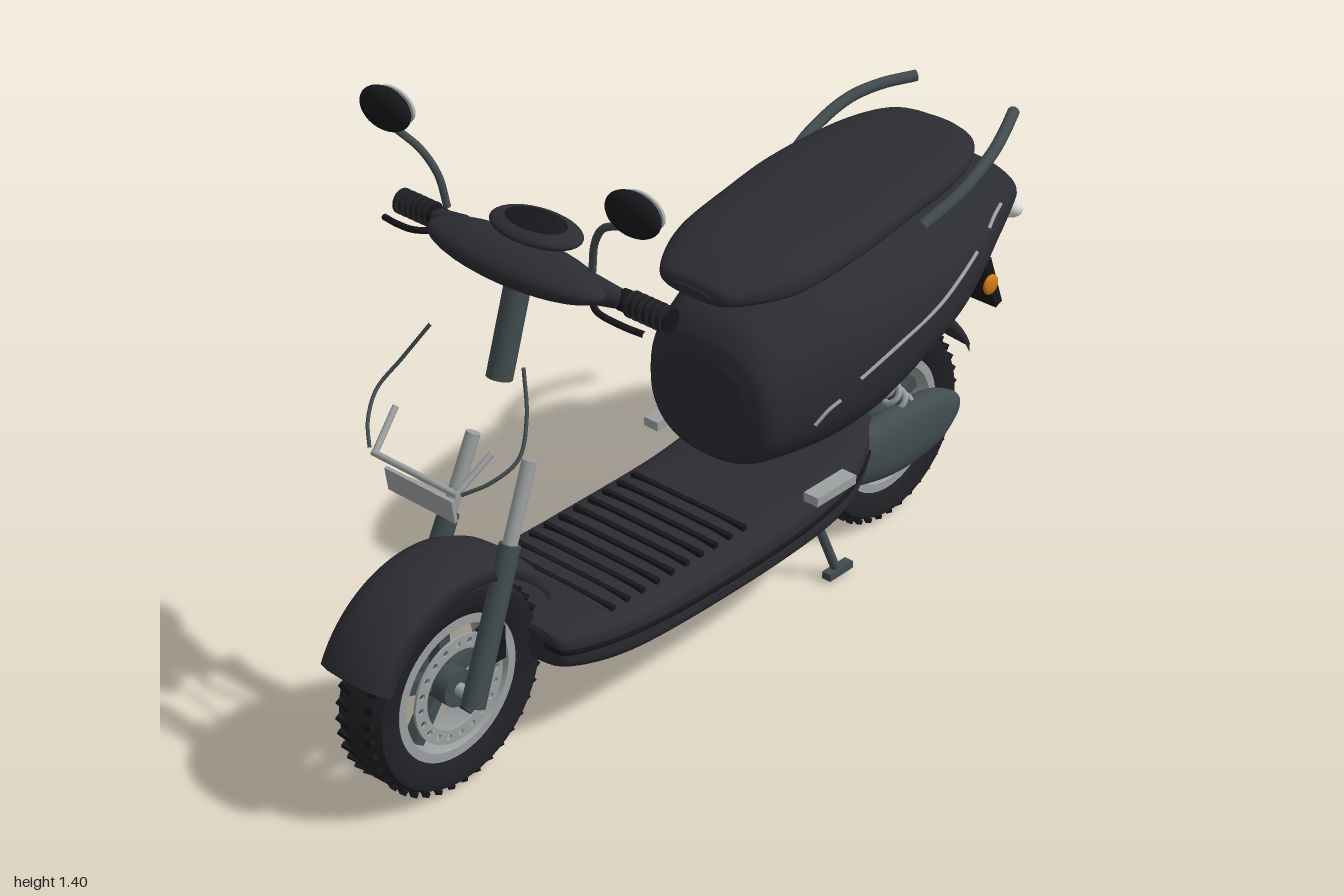
import * as THREE from 'three';
import { toCreasedNormals } from 'three/addons/utils/BufferGeometryUtils.js';

const mat = (name, color) => Object.assign(new THREE.MeshStandardMaterial({ color }), { name });
const V = (p) => new THREE.Vector3(...p);

export function createModel() {
  const paint = mat('black paint', 0x2c2c33), rubber = mat('tyre rubber', 0x212126), trim = mat('black trim', 0x17171b);
  const gunmetal = mat('gunmetal', 0x414c4e), silver = mat('silver', 0x9da1a2), glass = mat('mirror glass', 0xa9b1b3);
  const red = mat('red lens', 0xb01f2c), white = mat('white lens', 0xdcdcdc), amber = mat('amber lens', 0xd07a12);
  const fenderPaint = mat('fender paint', 0x2c2c33);
  fenderPaint.side = THREE.DoubleSide;
  const model = new THREE.Group();

  function add(name, geo, material, pos = [0, 0, 0], rot = [0, 0, 0], parent = model) {
    const m = new THREE.Mesh(geo, material);
    m.name = name;
    m.position.set(...pos);
    m.rotation.set(...rot);
    parent.add(m);
    return m;
  }
  const ball = (name, pos, scale, material) => add(name, new THREE.SphereGeometry(1, 32, 20), material, pos).scale.set(...scale);
  // Straight rod between two points
  function rod(name, a, b, r0, material, r1 = r0, parent = model) {
    const d = V(b).sub(V(a));
    const m = add(name, new THREE.CylinderGeometry(r1, r0, d.length(), 20), material, V(a).addScaledVector(d, 0.5).toArray(), [0, 0, 0], parent);
    m.quaternion.setFromUnitVectors(V([0, 1, 0]), d.normalize());
    return m;
  }
  const pipe = (name, pts, r, material) =>
    add(name, new THREE.TubeGeometry(new THREE.CatmullRomCurve3(pts.map(V)), 32, r, 10), material);

  // Smooth hull along x; each section is [x, top, bottom, halfWidth, heightOfWidestPoint]
  function sampler(secs) {
    const curve = (f) => new THREE.CatmullRomCurve3(secs.map((s) => V(f(s))), false, 'catmullrom', 0.5);
    const a = curve((s) => [s[0], s[1], s[2]]), b = curve((s) => [s[3], s[4], 0]);
    return (t) => {
      const p = a.getPoint(t), q = b.getPoint(t);
      return { x: p.x, top: p.y, bot: p.z, w: q.x, mid: q.y };
    };
  }
  function hull(secs, e, rings = 48, n = 48) {
    const at = sampler(secs), pos = [], idx = [];
    const pw = (v) => Math.sign(v) * Math.abs(v) ** e;
    const ring = (s) => {
      for (let j = 0; j < n; j++) {
        const c = pw(Math.cos((j / n) * Math.PI * 2)), k = pw(Math.sin((j / n) * Math.PI * 2));
        pos.push(s.x, s.mid + k * (k > 0 ? s.top - s.mid : s.mid - s.bot), c * s.w);
      }
    };
    for (let i = 0; i <= rings; i++) ring(at(i / rings));
    for (let i = 0; i < rings; i++) for (let j = 0; j < n; j++) {
      const k = (j + 1) % n, a = i * n + j, b = i * n + k;
      idx.push(a, a + n, b, b, a + n, b + n);
    }
    for (const end of [0, 1]) { // separate end caps
      const s = at(end), base = pos.length / 3;
      ring(s);
      pos.push(s.x, s.mid, 0);
      for (let j = 0; j < n; j++) {
        const k = base + ((j + 1) % n);
        idx.push(base + n, end ? k : base + j, end ? base + j : k);
      }
    }
    const g = new THREE.BufferGeometry();
    g.setAttribute('position', new THREE.Float32BufferAttribute(pos, 3));
    g.setIndex(idx);
    g.computeVertexNormals();
    return g;
  }
  // Profile [radius, z] swept round the z axis from angle a to b
  function revolve(profile, a = 0, b = Math.PI * 2) {
    const g = new THREE.LatheGeometry(profile.map((p) => new THREE.Vector2(...p)), 64, a + Math.PI / 2, b - a);
    return g.rotateX(Math.PI / 2);
  }

  // Wheels
  const axleZ = [Math.PI / 2, 0, 0];
  function wheel(name, x) {
    const g = new THREE.Group();
    g.name = name;
    g.position.set(x, 0.248, 0);
    model.add(g);
    add('tyre', toCreasedNormals(revolve([[0.165, -0.05], [0.198, -0.066], [0.225, -0.063], [0.237, -0.04], [0.241, 0],
      [0.237, 0.04], [0.225, 0.063], [0.198, 0.066], [0.165, 0.05], [0.165, -0.05]]), 0.7), rubber, undefined, undefined, g);
    add('rim', toCreasedNormals(revolve([[0.143, -0.04], [0.146, -0.052], [0.167, -0.052], [0.167, 0.052], [0.146, 0.052],
      [0.143, 0.04], [0.143, -0.04]]), 0.5), silver, undefined, undefined, g);
    add('hub', new THREE.CylinderGeometry(0.042, 0.042, 0.11, 32), gunmetal, undefined, axleZ, g);
    add('axle', new THREE.CylinderGeometry(0.014, 0.014, 0.24, 16), silver, undefined, axleZ, g);
    for (let i = 0; i < 5; i++) {
      const a = Math.PI / 2 + (i * Math.PI * 2) / 5;
      add('spoke', new THREE.BoxGeometry(0.12, 0.03, 0.035), gunmetal, [Math.cos(a) * 0.09, Math.sin(a) * 0.09, 0], [0, 0, a], g);
    }
    for (let i = 0; i < 40; i++) for (const s of [-1, 1]) {
      const a = ((i + (s > 0 ? 0.5 : 0)) * Math.PI) / 20;
      const block = add('tread', new THREE.BoxGeometry(0.01, 0.014, 0.04), trim, [Math.cos(a) * 0.236, Math.sin(a) * 0.236, s * 0.034], [0, 0, a], g);
      block.rotateX(s * 0.5);
      block.rotateY(s * 0.2);
    }
    return g;
  }
  const front = wheel('frontWheel', -0.745);
  wheel('rearWheel', 0.65);

  // Drilled brake disc
  const disc = new THREE.Shape().absarc(0, 0, 0.125, 0, Math.PI * 2);
  disc.holes.push(new THREE.Path().absarc(0, 0, 0.092, 0, Math.PI * 2));
  for (let i = 0; i < 20; i++) {
    const a = (i * Math.PI) / 10;
    disc.holes.push(new THREE.Path().absarc(Math.cos(a) * 0.109, Math.sin(a) * 0.109, 0.007, 0, Math.PI * 2));
  }
  add('brakeDisc', new THREE.ExtrudeGeometry(disc, { depth: 0.006, bevelEnabled: false, curveSegments: 24 }), silver, [0, 0, 0.05], undefined, front);
  add('brakeCaliper', new THREE.BoxGeometry(0.05, 0.08, 0.035), trim, [0.09, 0.07, 0.06], undefined, front);

  // Fenders
  const guard = [[0.25, -0.1], [0.272, -0.085], [0.286, -0.05], [0.29, 0], [0.286, 0.05], [0.272, 0.085], [0.25, 0.1],
    [0.263, 0.08], [0.27, 0], [0.263, -0.08], [0.25, -0.1]];
  const rad = Math.PI / 180;
  add('frontFender', revolve(guard, 26 * rad, 155 * rad), fenderPaint, [-0.745, 0.258, 0]);
  add('rearFender', revolve(guard, 25 * rad, 150 * rad), fenderPaint, [0.65, 0.26, 0]);

  // Body, seat and footboard
  const bodySecs = [[0.06, 0.66, 0.43, 0.13, 0.55], [0.08, 0.71, 0.41, 0.17, 0.56], [0.13, 0.755, 0.395, 0.195, 0.57],
    [0.27, 0.80, 0.385, 0.235, 0.6], [0.40, 0.82, 0.405, 0.257, 0.63], [0.52, 0.833, 0.465, 0.265, 0.66],
    [0.68, 0.842, 0.545, 0.25, 0.70], [0.84, 0.848, 0.645, 0.2, 0.75], [0.93, 0.84, 0.685, 0.165, 0.77], [0.96, 0.82, 0.70, 0.15, 0.765]];
  const E = 0.82;
  add('rearBody', hull(bodySecs, E), paint);
  add('seat', hull([[0.02, 0.85, 0.83, 0.05, 0.84], [0.045, 0.875, 0.82, 0.11, 0.845], [0.17, 0.91, 0.815, 0.175, 0.85],
    [0.35, 0.93, 0.835, 0.195, 0.875], [0.5, 0.945, 0.86, 0.197, 0.9], [0.7, 0.955, 0.88, 0.18, 0.915],
    [0.82, 0.957, 0.9, 0.13, 0.925], [0.865, 0.94, 0.915, 0.05, 0.927]], 0.75), paint);
  const deck = [[-0.55, 0.31, 0.25, 0.11, 0.28], [-0.53, 0.32, 0.22, 0.16, 0.275], [-0.4, 0.325, 0.195, 0.2, 0.27],
    [-0.2, 0.32, 0.185, 0.21, 0.26], [0.1, 0.325, 0.185, 0.21, 0.26], [0.3, 0.35, 0.2, 0.205, 0.285],
    [0.42, 0.37, 0.235, 0.17, 0.31], [0.5, 0.38, 0.28, 0.12, 0.335]];
  add('footboard', hull(deck, 0.5), paint);
  add('footboardBead', hull(deck.map(([x, , , w, m]) => [x, m + 0.012, m - 0.012, w + 0.005, m]), 0.5), trim);
  for (let i = 0; i < 10; i++) add('footboardRib', new THREE.BoxGeometry(0.012, 0.012, 0.33), trim, [-0.4 + i * 0.046, 0.321, 0]);

  // Height-following side stripes on the rear body
  const bodyAt = sampler(bodySecs);
  function onBody(x, y, side) {
    let lo = 0, hi = 1;
    for (let i = 0; i < 30; i++) bodyAt((lo + hi) / 2).x < x ? (lo = (lo + hi) / 2) : (hi = (lo + hi) / 2);
    const s = bodyAt(lo), k = Math.abs(y - s.mid) / (y > s.mid ? s.top - s.mid : s.mid - s.bot);
    return [x, y, side * (s.w * Math.sqrt(Math.max(0, 1 - k ** (2 / E))) ** E + 0.001)];
  }

  // Mirrored parts
  for (const s of [1, -1]) {
    pipe('sideStripe', [[0.3, 0.6], [0.4, 0.642], [0.54, 0.69], [0.62, 0.722], [0.7, 0.75]].map(([x, y]) => onBody(x, y, s)), 0.0045, silver);
    pipe('rearStripe', [[0.77, 0.772], [0.81, 0.785], [0.85, 0.793]].map(([x, y]) => onBody(x, y, s)), 0.0045, silver);
    pipe('frontStripe', [[0.19, 0.52], [0.22, 0.55], [0.25, 0.565]].map(([x, y]) => onBody(x, y, s)), 0.0045, silver);
    pipe('grabRail', [[0.55, 0.86, s * 0.2], [0.66, 0.905, s * 0.217], [0.78, 0.95, s * 0.207], [0.86, 0.967, s * 0.18], [0.945, 0.972, s * 0.14]], 0.014, gunmetal);
    ball('tailIndicator', [0.945, 0.735, s * 0.135], [0.027, 0.027, 0.042], white);
    add('passengerPeg', new THREE.BoxGeometry(0.13, 0.022, 0.04), silver, [0.215, 0.36, s * 0.235]);

    // Shock absorber with coil
    const a = [0.5, 0.48, s * 0.11], b = [0.68, 0.27, s * 0.11], coil = [];
    rod('shockRod', a, b, 0.015, gunmetal);
    for (let i = 0; i <= 84; i++) {
      const t = i / 84, u = t * Math.PI * 14, c = Math.cos(u) * 0.023;
      coil.push([0.5 + 0.16 * t + c * 0.76, 0.48 - 0.187 * t + c * 0.65, s * 0.11 + Math.sin(u) * 0.023]);
    }
    add('shockSpring', new THREE.TubeGeometry(new THREE.CatmullRomCurve3(coil.map(V)), 168, 0.007, 6), silver);

    // Centre stand
    rod('standLeg', [0.31, 0.23, s * 0.09], [0.375, 0.02, s * 0.128], 0.011, gunmetal);
    add('standFoot', new THREE.BoxGeometry(0.08, 0.018, 0.024), gunmetal, [0.38, 0.018, s * 0.128]);

    // Fork
    rod('forkLeg', [-0.755, 0.235, s * 0.105], [-0.62, 0.555, s * 0.088], 0.026, gunmetal, 0.023);
    rod('forkTube', [-0.62, 0.555, s * 0.088], [-0.55, 0.72, s * 0.08], 0.016, silver);

    // Grips, levers and mirrors
    rod('barEnd', [-0.48, 1.125, s * 0.17], [-0.455, 1.115, s * 0.27], 0.034, paint, 0.017);
    rod('grip', [-0.455, 1.115, s * 0.25], [-0.445, 1.107, s * 0.37], 0.023, trim, 0.026);
    for (let i = 0; i < 6; i++) rod('gripRib', [-0.452, 1.112, s * (0.275 + i * 0.017)], [-0.452, 1.112, s * (0.283 + i * 0.017)], 0.028, rubber);
    pipe('brakeLever', [[-0.49, 1.12, s * 0.2], [-0.525, 1.115, s * 0.25], [-0.52, 1.105, s * 0.31], [-0.51, 1.1, s * 0.36]], 0.007, trim);
    pipe('mirrorStem', [[-0.485, 1.17, s * 0.2], [-0.493, 1.24, s * 0.215], [-0.505, 1.29, s * 0.25], [-0.515, 1.32, s * 0.31]], 0.008, gunmetal);
    ball('mirrorShell', [-0.515, 1.355, s * 0.337], [0.028, 0.047, 0.069], trim);
    const pane = add('mirrorGlass', new THREE.CylinderGeometry(1, 1, 0.006, 40), glass, [-0.491, 1.355, s * 0.337], [0, 0, -Math.PI / 2]);
    pane.scale.set(0.039, 1, 0.059);

    // Front panel trim lines
    pipe('frontTrim', [[-0.61, 0.98, s * 0.13], [-0.65, 0.9, s * 0.175], [-0.7, 0.84, s * 0.2], [-0.75, 0.8, s * 0.175], [-0.79, 0.77, s * 0.13]], 0.004, gunmetal);
    rod('frontTrimArm', [-0.71, 0.83, s * 0.135], [-0.79, 0.765, s * 0.115], 0.007, silver);
  }
  rod('frontTrimBar', [-0.79, 0.765, -0.12], [-0.79, 0.765, 0.12], 0.007, silver);
  add('frontPlate', new THREE.BoxGeometry(0.008, 0.055, 0.19), silver, [-0.777, 0.71, 0], [0, 0, 0.15]);

  // Steering column, handlebar cover and dashboard
  rod('steeringColumn', [-0.55, 0.88, 0], [-0.475, 1.12, 0], 0.028, gunmetal);
  ball('handlebarCover', [-0.495, 1.127, 0], [0.075, 0.043, 0.24], paint);
  ball('dashboard', [-0.435, 1.175, 0], [0.066, 0.022, 0.115], paint);
  ball('dashboardFace', [-0.435, 1.185, 0], [0.048, 0.015, 0.085], trim);

  // Motor case on the left side of travel
  add('motorCase', hull([[0.33, 0.34, 0.27, 0.02, 0.31], [0.4, 0.355, 0.23, 0.035, 0.3], [0.55, 0.36, 0.195, 0.042, 0.28],
    [0.7, 0.35, 0.2, 0.037, 0.28], [0.78, 0.315, 0.24, 0.022, 0.28], [0.805, 0.29, 0.27, 0.008, 0.28]], 0.85), gunmetal, [0, 0, 0.125]);

  // Tail
  ball('tailLight', [0.942, 0.775, 0], [0.036, 0.047, 0.158], red);
  add('plateHolder', new THREE.BoxGeometry(0.025, 0.145, 0.187), trim, [0.965, 0.51, 0], [0, 0, 0.36]);
  ball('sideIndicator', [0.905, 0.543, 0.13], [0.025, 0.025, 0.01], amber);
  return model;
}
